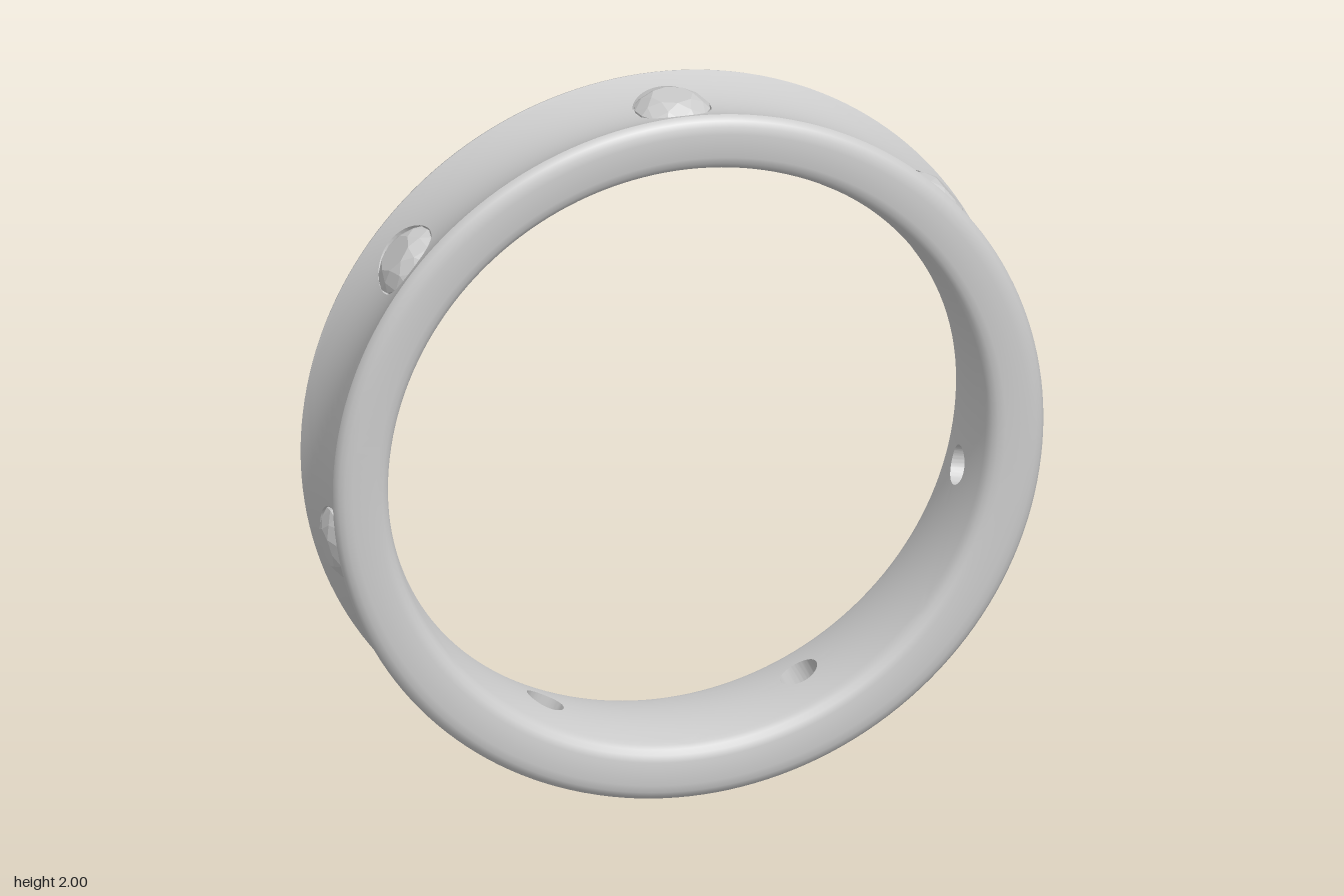
import * as THREE from 'three';
import { toCreasedNormals } from 'three/addons/utils/BufferGeometryUtils.js';
import { ConvexGeometry } from 'three/addons/geometries/ConvexGeometry.js';

const GEMS = 7, LONG = 24, SHORT = 12, RINGS = 10;
const EDGE = 0.16;                 // z where the rounded rims begin
const outerR = z => 0.963 + 1.45 * z * z;   // concave outside
const innerR = z => 0.823 + 0.85 * z * z;   // gently domed inside
const polar = (r, a, z) => [r * Math.cos(a), r * Math.sin(a), z];

// Skin a list of closed rings of points into triangles
function loft(rows, out) {
  for (let i = 0; i < rows.length - 1; i++) {
    const a = rows[i], b = rows[i + 1], n = a.length;
    for (let j = 0; j < n; j++) {
      const k = (j + 1) % n;
      out.push(...a[j], ...b[j], ...b[k], ...a[j], ...b[k], ...a[k]);
    }
  }
}

// Matching samples of a sector's rectangular border (u, v) and a circle (angle)
const border = [];
[SHORT, LONG, SHORT, LONG].forEach((n, side) => {
  for (let i = 0; i < n; i++) {
    const t = i / n, s = 2 * t - 1;
    const [u, v] = [[1, s], [-s, 1], [-1, -s], [s, -1]][side];
    border.push({ u, v, angle: (side + t - 0.5) * Math.PI / 2 });
  }
});

// Ring on a band surface, blended from hole circle (f = 0) to sector border (f = 1)
function surfaceRing(radiusAt, hole, centre, f) {
  return border.map(({ u, v, angle }) => {
    const a = THREE.MathUtils.lerp(hole * Math.cos(angle) / radiusAt(0), u * Math.PI / GEMS, f);
    const z = THREE.MathUtils.lerp(hole * Math.sin(angle), v * EDGE, f);
    return polar(radiusAt(z), centre + a, z);
  });
}

// Ring inside a gem's drilled seat
function seatRing(height, hole, centre) {
  return border.map(({ angle }) => {
    const t = hole * Math.cos(angle), z = hole * Math.sin(angle);
    return polar(Math.hypot(height, t), centre + Math.atan2(t, height), z);
  });
}

function bandGeometry(angles) {
  const out = [];
  // Each sector: inner surface, through the drilled seat, onto the outer surface
  for (const c of angles) {
    const rows = [];
    for (let i = RINGS; i >= 0; i--) rows.push(surfaceRing(innerR, 0.055, c, (i / RINGS) ** 1.3));
    rows.push(seatRing(0.89, 0.055, c), seatRing(0.945, 0.107, c));
    for (let i = 0; i <= RINGS; i++) rows.push(surfaceRing(outerR, 0.107, c, (i / RINGS) ** 1.3));
    loft(rows, out);
  }
  // Rounded rims on both sides
  const rim = [[innerR(EDGE), EDGE], [0.853, 0.174], [0.866, 0.184], [0.885, 0.19], [0.952, 0.19],
    [0.973, 0.187], [0.988, 0.179], [0.997, 0.169], [outerR(EDGE), EDGE]];
  const n = GEMS * LONG, start = angles[0] - Math.PI / GEMS;
  const ring = (r, z) => Array.from({ length: n }, (_, j) => polar(r, start + j / n * Math.PI * 2, z));
  loft(rim.map(([r, z]) => ring(r, z)), out);
  loft(rim.map(([r, z]) => ring(r, -z)).reverse(), out);

  const geo = new THREE.BufferGeometry();
  geo.setAttribute('position', new THREE.Float32BufferAttribute(out, 3));
  return toCreasedNormals(geo, 0.6);
}

// Faceted round-cut stone, girdle at y = 0
function gemGeometry() {
  const pts = [new THREE.Vector3(0, -0.085, 0)];
  const circle = (n, r, y, turn) => {
    for (let i = 0; i < n; i++) {
      const a = (i + turn) / n * Math.PI * 2;
      pts.push(new THREE.Vector3(r * Math.cos(a), y, r * Math.sin(a)));
    }
  };
  circle(8, 0.058, 0.038, 0);     // table
  circle(8, 0.084, 0.023, 0.5);   // crown
  circle(16, 0.104, 0.003, 0);    // girdle
  circle(16, 0.104, -0.003, 0);
  circle(8, 0.05, -0.046, 0.5);   // pavilion
  return new ConvexGeometry(pts);
}

export function createModel() {
  const model = new THREE.Group();
  model.name = 'ring';
  const angles = Array.from({ length: GEMS }, (_, i) => Math.PI / 2 + i / GEMS * Math.PI * 2);

  const band = new THREE.Mesh(bandGeometry(angles), new THREE.MeshStandardMaterial({ color: 0xcccccc }));
  band.name = 'band';
  band.position.y = 1;
  model.add(band);

  const gems = new THREE.Group();
  gems.name = 'gems';
  gems.position.y = 1;
  const gemShape = gemGeometry();
  const gemMaterial = new THREE.MeshStandardMaterial({ color: 0xcccccc, flatShading: true });
  angles.forEach((a, i) => {
    const gem = new THREE.Mesh(gemShape, gemMaterial);
    gem.name = `gem${i + 1}`;
    gem.position.set(...polar(0.96, a, 0));
    gem.rotation.z = a - Math.PI / 2;
    gems.add(gem);
  });
  model.add(gems);
  return model;
}
